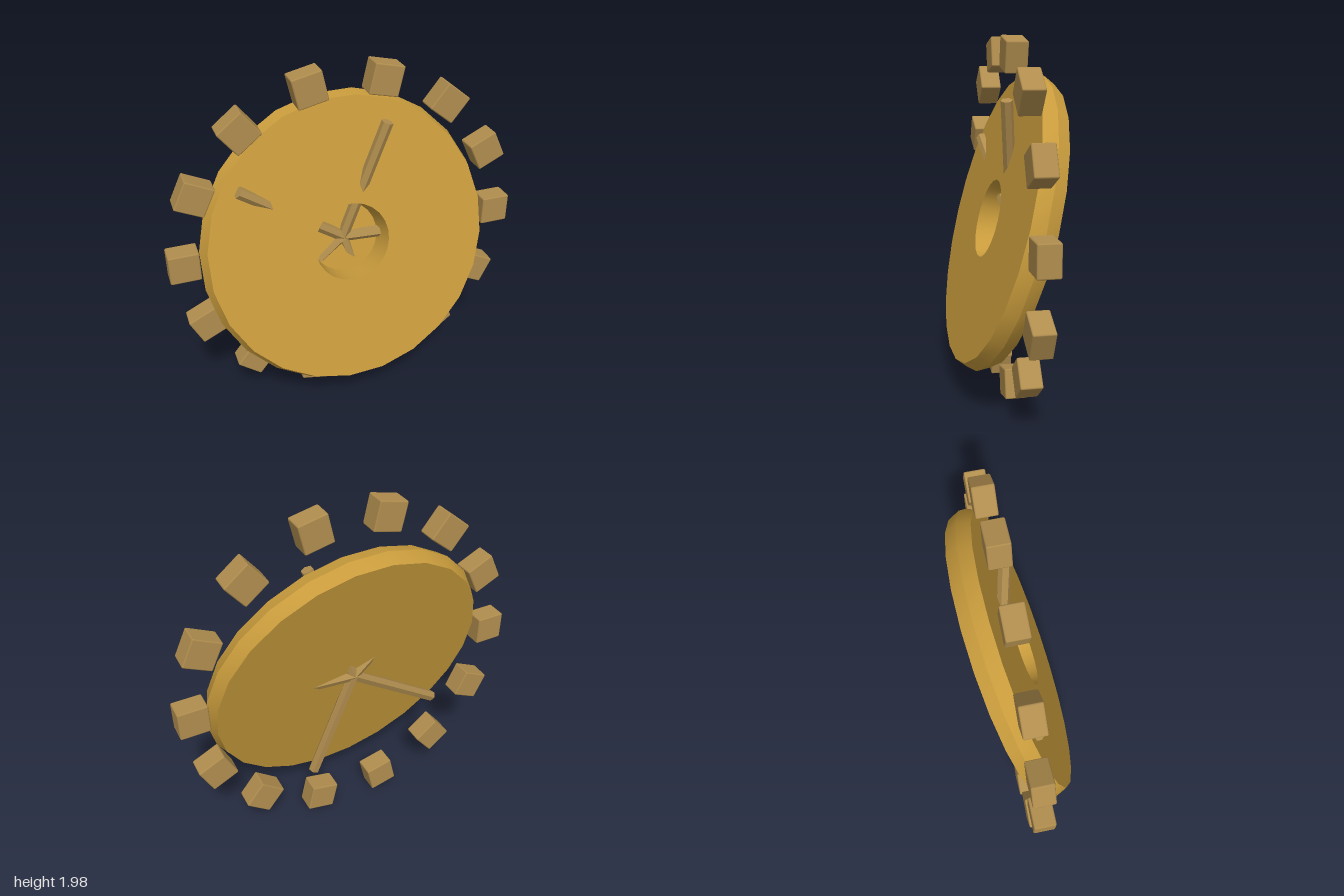
import * as THREE from 'three';
import { toCreasedNormals } from 'three/addons/utils/BufferGeometryUtils.js';
import { RoundedBoxGeometry } from 'three/addons/geometries/RoundedBoxGeometry.js';

const TEETH = 14;
const SPOKES = 5;

export function createModel() {
  const group = new THREE.Group();
  const gold = new THREE.MeshStandardMaterial({ color: 0xc89b3c });
  gold.name = 'gold';
  const brass = new THREE.MeshStandardMaterial({ color: 0xb08d4e });
  brass.name = 'brass';

  // Tilted disc: ridged rim, solid back, tapered recess in the front
  const profile = [
    [0, -0.07], [0.807, -0.07], [0.837, 0], [0.807, 0.07],
    [0.22, 0.07], [0.2, -0.062], [0, -0.062],
  ].map(([r, h]) => new THREE.Vector2(r, h));
  const discGeometry = new THREE.LatheGeometry(profile, 24, THREE.MathUtils.degToRad(10));
  const disc = new THREE.Mesh(toCreasedNormals(discGeometry, 0.4), gold);
  disc.name = 'disc';
  disc.position.set(0, 0.981, 0);
  disc.quaternion.setFromUnitVectors(
    new THREE.Vector3(0, 1, 0),
    new THREE.Vector3(0.041, 0.27, 1).normalize(),
  );
  group.add(disc);

  // Ring of loose, slightly bevelled teeth
  const toothGeometry = new RoundedBoxGeometry(0.166, 0.166, 0.118, 1, 0.008);
  const teeth = new THREE.Group();
  teeth.name = 'teeth';
  for (let i = 0; i < TEETH; i++) {
    const a = (i / TEETH) * Math.PI * 2;
    const tooth = new THREE.Mesh(toothGeometry, brass);
    tooth.name = 'tooth';
    tooth.position.set(Math.cos(a) * 0.915, 1 + Math.sin(a) * 0.915, -0.036);
    tooth.rotation.z = a;
    teeth.add(tooth);
  }
  group.add(teeth);

  // Six-sided spokes fanning forward from a hub at the back of the disc
  const hub = new THREE.Vector3(-0.008, 0.963, -0.07);
  const spokeGeometry = toCreasedNormals(new THREE.CylinderGeometry(0.033, 0.033, 0.735, 6), 0.4);
  const spokes = new THREE.Group();
  spokes.name = 'spokes';
  for (let i = 0; i < SPOKES; i++) {
    const a = (i / SPOKES) * Math.PI * 2;
    const direction = new THREE.Vector3(Math.cos(a), Math.sin(a), 0.1).normalize();
    const spoke = new THREE.Mesh(spokeGeometry, brass);
    spoke.name = 'spoke';
    spoke.position.copy(hub).addScaledVector(direction, 0.3675);
    spoke.quaternion.setFromUnitVectors(new THREE.Vector3(0, 1, 0), direction);
    spokes.add(spoke);
  }
  group.add(spokes);

  return group;
}
